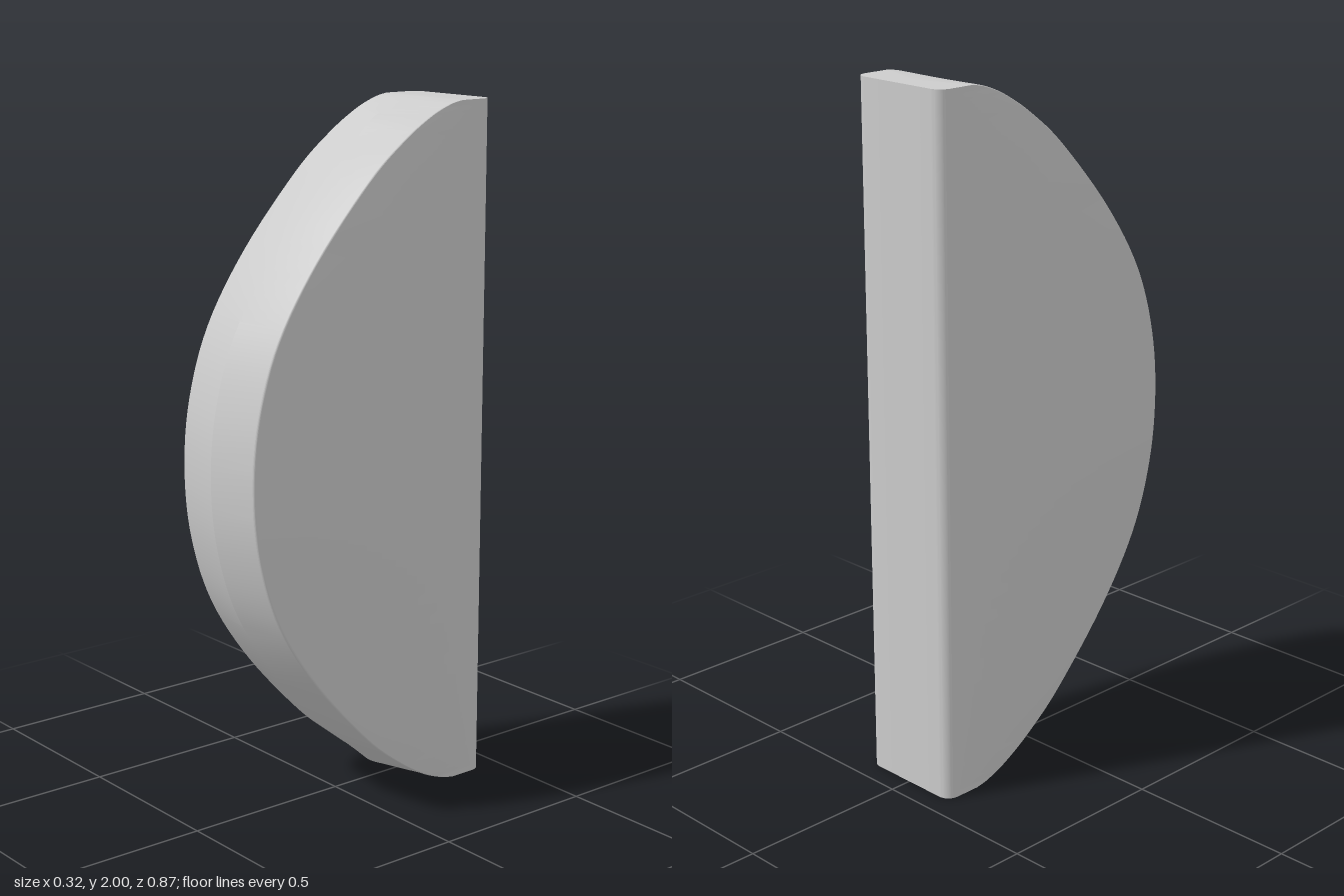
import * as THREE from 'three';
import { toCreasedNormals } from 'three/addons/utils/BufferGeometryUtils.js';

const HALF_WIDTH = 0.162, BACK = -0.435;
const FRONT_R = 0.008, BACK_R = 0.036, ARC = 8;

// Upper half of the bow: [height, z of the side edge, z of the centre ridge]
const PROFILE = [
  [1, 0.412, 0.435], [1.2, 0.392, 0.415], [1.4, 0.325, 0.349], [1.6, 0.195, 0.218],
  [1.8, 0.015, 0.04], [1.9, -0.105, -0.075], [1.96, -0.2, -0.15], [1.99, -0.27, -0.27], [2, -0.315, -0.315],
];

// One horizontal section: pointed front, small front corners, rounder back corners
function section(y, side, ridge) {
  const half = [];
  const arc = (r, z, from) => {
    for (let i = 0; i <= ARC; i++) {
      const a = from - (i / ARC) * Math.PI / 2;
      half.push([HALF_WIDTH - r + r * Math.cos(a), z + r * Math.sin(a)]);
    }
  };
  arc(FRONT_R, side - FRONT_R, Math.PI / 2);
  arc(BACK_R, BACK + BACK_R, 0);
  const mirrored = half.slice().reverse().map(([x, z]) => [-x, z]);
  return [[0, ridge], ...half, ...mirrored].map(([x, z]) => [x, y, z]);
}

function bowGeometry() {
  const full = [...PROFILE.slice(1).reverse().map(([y, s, c]) => [2 - y, s, c]), ...PROFILE];
  const sideCurve = new THREE.SplineCurve(full.map(([y, s]) => new THREE.Vector2(s, y)));
  const ridgeCurve = new THREE.SplineCurve(full.map(([y, , c]) => new THREE.Vector2(c, y)));
  const steps = (full.length - 1) * 6;
  const rings = [];
  for (let i = 0; i <= steps; i++) {
    const s = sideCurve.getPoint(i / steps);
    const y = THREE.MathUtils.clamp(s.y, 0, 2);
    // The ridge ends in a straight bevel at both tips
    const tip = Math.max(y, 2 - y);
    const ridge = tip > 1.96
      ? THREE.MathUtils.mapLinear(tip, 1.96, 2, -0.15, -0.315)
      : ridgeCurve.getPoint(i / steps).x;
    rings.push(section(y, s.x, ridge));
  }

  const n = rings[0].length;
  const positions = rings.flat(2);
  const index = [];
  for (let r = 0; r < steps; r++) {
    for (let i = 0; i < n; i++) {
      const j = (i + 1) % n;
      const a = r * n + i, b = r * n + j, c = a + n, d = b + n;
      // Mirror the diagonals about the ridge
      if (i < n / 2) index.push(a, b, d, a, d, c);
      else index.push(a, b, c, b, d, c);
    }
  }
  // Flat end caps
  const bottom = rings.length * n, top = bottom + 1;
  positions.push(0, 0, -0.375, 0, 2, -0.375);
  for (let i = 0; i < n; i++) {
    const j = (i + 1) % n;
    index.push(bottom, j, i, top, steps * n + i, steps * n + j);
  }

  const geometry = new THREE.BufferGeometry();
  geometry.setAttribute('position', new THREE.Float32BufferAttribute(positions, 3));
  geometry.setIndex(index);
  return toCreasedNormals(geometry, 0.27);
}

export function createModel() {
  const group = new THREE.Group();
  group.name = 'bowedHandle';
  const grey = new THREE.MeshStandardMaterial({ color: 0xcccccc });
  grey.name = 'lightGrey';
  const body = new THREE.Mesh(bowGeometry(), grey);
  body.name = 'handleBody';
  group.add(body);
  return group;
}
